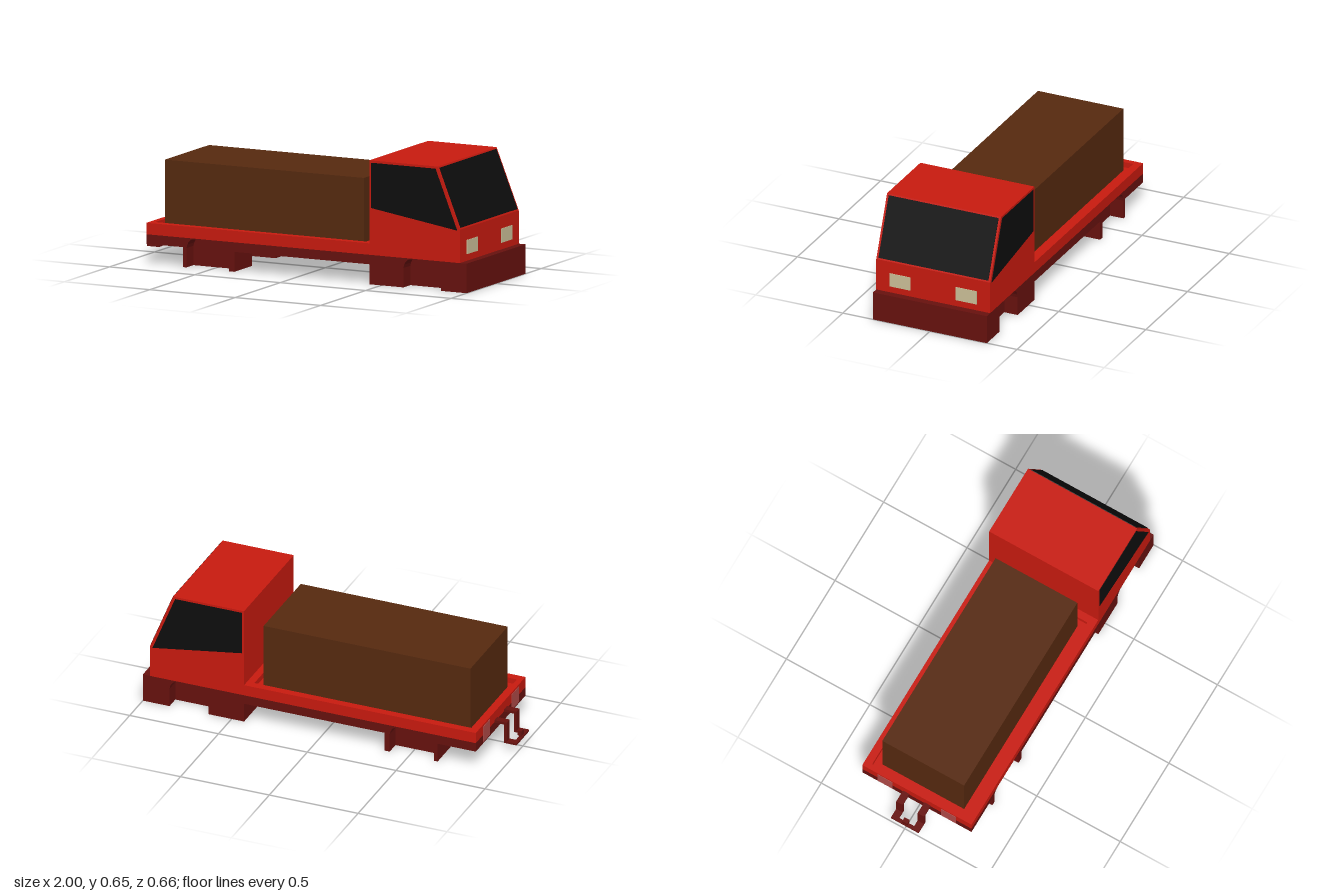
import * as THREE from 'three';

const mat = (color) => new THREE.MeshStandardMaterial({ color, flatShading: true });
const W = 0.327; // half width of the body

export function createModel() {
  const truck = new THREE.Group();
  truck.name = 'truck';
  const red = mat(0xc81a0f), dark = mat(0x67110e), brown = mat(0x56290f);
  const glass = mat(0x0d0d0d), cream = mat(0xcbbf98), lens = mat(0xb04a48);

  const add = (name, geometry, material) => {
    const mesh = new THREE.Mesh(geometry, material);
    mesh.name = name;
    truck.add(mesh);
    return mesh;
  };
  // Box given by its limits on each axis
  const box = (name, material, x0, x1, y0, y1, z0, z1) =>
    add(name, new THREE.BoxGeometry(x1 - x0, y1 - y0, z1 - z0), material)
      .position.set((x0 + x1) / 2, (y0 + y1) / 2, (z0 + z1) / 2);
  // Side profile (x, y) extruded from z0 to z1
  const slab = (name, material, shape, z0, z1) => {
    const geometry = new THREE.ExtrudeGeometry(shape, { depth: z1 - z0, bevelEnabled: false, curveSegments: 5 });
    add(name, geometry, material).position.z = z0;
  };
  const polygon = (points) => new THREE.Shape(points.map(([x, y]) => new THREE.Vector2(x, y)));

  // Skirt profile with a rounded wheel arch open at the bottom
  const archShape = (x0, x1, a0, a1) => {
    const top = 0.152, r = 0.05;
    const s = new THREE.Shape();
    s.moveTo(x0, 0);
    s.lineTo(a0, 0);
    s.lineTo(a0, top - r);
    s.quadraticCurveTo(a0 + 0.008, top, a0 + r, top);
    s.lineTo(a1 - r, top);
    s.quadraticCurveTo(a1 - 0.008, top, a1, top - r);
    s.lineTo(a1, 0);
    s.lineTo(x1, 0);
    s.lineTo(x1, 0.155);
    s.lineTo(x0, 0.155);
    return s;
  };

  // Lower body: core under the cab and chassis plates, open between the rear housings
  box('frontSkirtCore', dark, 0.43, 1, 0, 0.155, -0.25, 0.25);
  box('chassis', dark, -0.36, 0.43, 0.105, 0.155, -W, W);
  box('rearChassis', dark, -0.875, -0.66, 0.105, 0.155, -W, W);

  // Load bed with raised rim
  const rim = polygon([[-0.875, -W], [0.43, -W], [0.43, W], [-0.875, W]]);
  rim.holes.push(new THREE.Path([[-0.845, -0.285], [-0.845, 0.285], [0.39, 0.285], [0.39, -0.285]]
    .map(([x, y]) => new THREE.Vector2(x, y))));
  const rimMesh = add('bedRim', new THREE.ExtrudeGeometry(rim, { depth: 0.03, bevelEnabled: false }), red);
  rimMesh.rotation.x = -Math.PI / 2;
  rimMesh.position.y = 0.185;
  box('bedFloor', red, -0.875, 0.43, 0.155, 0.185, -W, W);
  box('cargo', brown, -0.81, 0.355, 0.152, 0.54, -0.245, 0.245);

  // Cab
  slab('cab', red, polygon([[0.43, 0.155], [0.96, 0.155], [0.96, 0.33], [0.83, 0.652], [0.43, 0.652]]), -W, W);
  const windscreen = add('windscreen', new THREE.BoxGeometry(0.006, 0.33, 0.63), glass);
  windscreen.position.set(0.895, 0.491, 0);
  windscreen.rotation.z = Math.atan2(0.13, 0.322);
  const sideWindow = polygon([[0.442, 0.402], [0.945, 0.325], [0.818, 0.64], [0.442, 0.64]]);

  // Paired parts; s = 1 is the +z side
  for (const s of [1, -1]) {
    const span = (a, b) => (s > 0 ? [a, b] : [-b, -a]);
    slab('frontWheelArch', dark, archShape(0.43, 1, 0.63, 0.85), ...span(0.25, W));
    slab('rearWheelArch', dark, archShape(-0.66, -0.36, -0.64, -0.39), ...span(0.25, W));
    box('rearWheelHousing', dark, -0.66, -0.36, 0, 0.155, ...span(0.13, 0.25));
    slab('sideWindow', glass, sideWindow, ...span(W - 0.003, W + 0.002));
    box('headlight', cream, 0.95, 0.963, 0.19, 0.265, ...span(0.13, 0.25));
    box('tailLight', lens, -0.878, -0.87, 0.115, 0.205, ...span(0.145, 0.235));
    // Coupling arm: out, down and out again
    box('couplingArm', dark, -0.945, -0.87, 0.153, 0.167, ...span(0.045, 0.083));
    box('couplingDrop', dark, -0.945, -0.93, 0.045, 0.153, ...span(0.045, 0.083));
    box('couplingFoot', dark, -0.98, -0.93, 0.045, 0.055, ...span(0.045, 0.083));
  }

  // Coupling cross bar and hitch pin
  box('couplingBar', dark, -1, -0.98, 0.045, 0.055, -0.083, 0.083);
  box('hitchPin', dark, -0.993, -0.982, 0.055, 0.068, -0.008, 0.008);
  box('hitchHead', dark, -1, -0.975, 0.066, 0.094, -0.015, 0.015);

  return truck;
}
